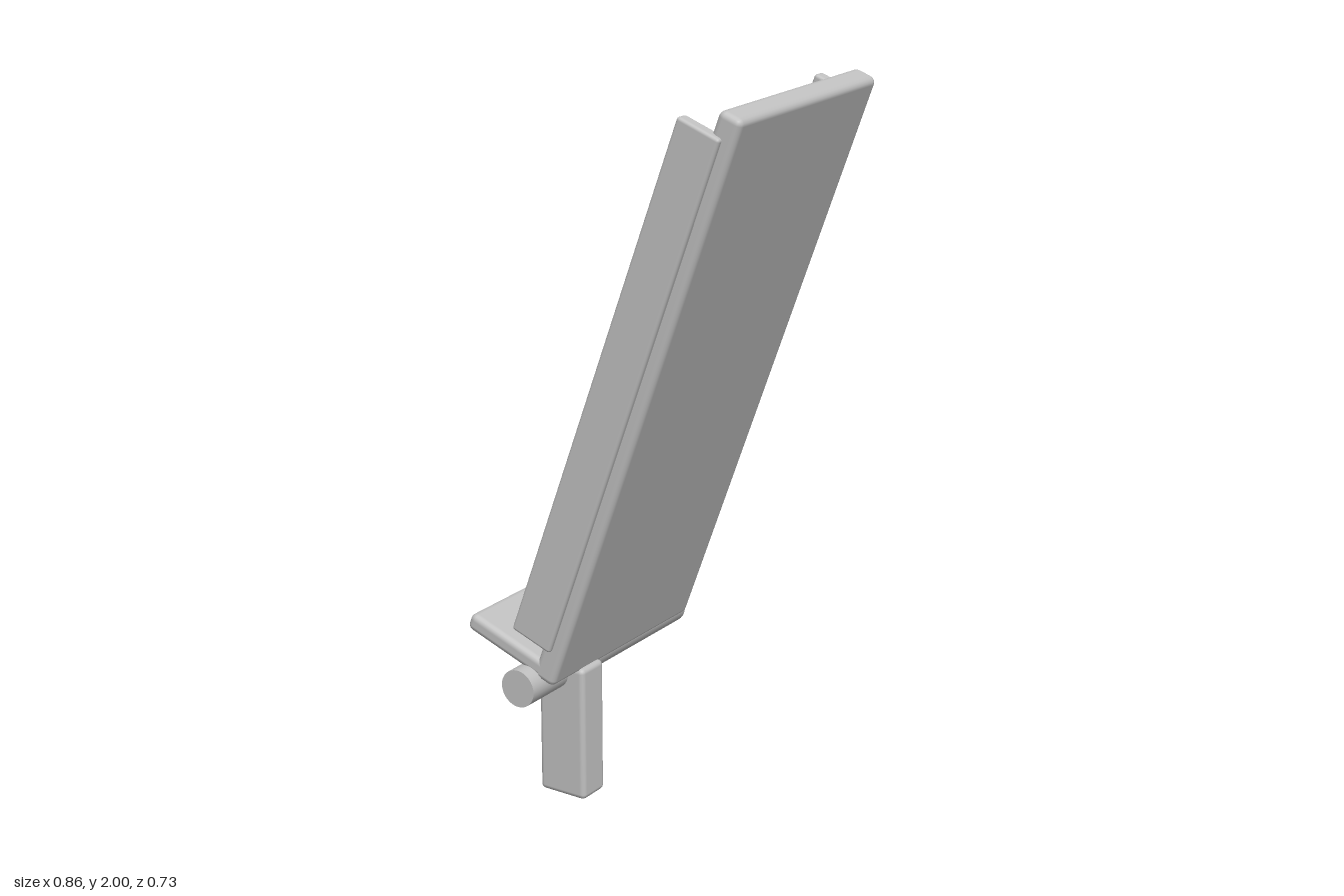
import * as THREE from 'three';
import { RoundedBoxGeometry } from 'three/addons/geometries/RoundedBoxGeometry.js';

export function createModel() {
  const model = new THREE.Group();
  model.name = 'loungerBackrest';
  const grey = new THREE.MeshStandardMaterial({ color: 0xc0c0c0 });
  grey.name = 'light grey';

  const add = (parent, name, geometry, x, y, z) => {
    const mesh = new THREE.Mesh(geometry, grey);
    mesh.name = name;
    mesh.position.set(x, y, z);
    parent.add(mesh);
    return mesh;
  };
  const box = (w, h, d, r) => new RoundedBoxGeometry(w, h, d, 2, r);

  // Leaning assembly: local y runs up the panel, local -x faces its front
  const lean = new THREE.Group();
  lean.name = 'leaningPanel';
  lean.position.set(0.111, 1.191, 0);
  lean.rotation.z = THREE.MathUtils.degToRad(-20);
  model.add(lean);

  add(lean, 'backPanel', box(0.07, 1.71, 0.65, 0.018), 0, 0, 0);

  // Side rails
  for (const side of [-1, 1]) {
    add(lean, side > 0 ? 'leftRail' : 'rightRail',
      box(0.13, 1.546, 0.037, 0.009), -0.065, 0.018, side * 0.3205);
  }

  // Raised cross slats
  for (let i = 0; i < 9; i++) {
    add(lean, 'slat', box(0.04, 0.052, 0.54, 0.009), -0.035, 0.01 + (i - 4) * 0.1525, 0);
  }

  // Ledge sticking out at the foot of the panel
  add(lean, 'ledge', box(0.272, 0.052, 0.65, 0.018), -0.136, -0.825, 0);

  // Hinge rod
  const rod = new THREE.CylinderGeometry(0.053, 0.053, 0.73, 32);
  rod.rotateX(Math.PI / 2);
  add(model, 'hingeRod', rod, -0.232, 0.37, 0);

  // Single off-centre support leg
  add(model, 'supportLeg', box(0.15, 0.39, 0.1, 0.015), -0.205, 0.195, 0.158);

  return model;
}
